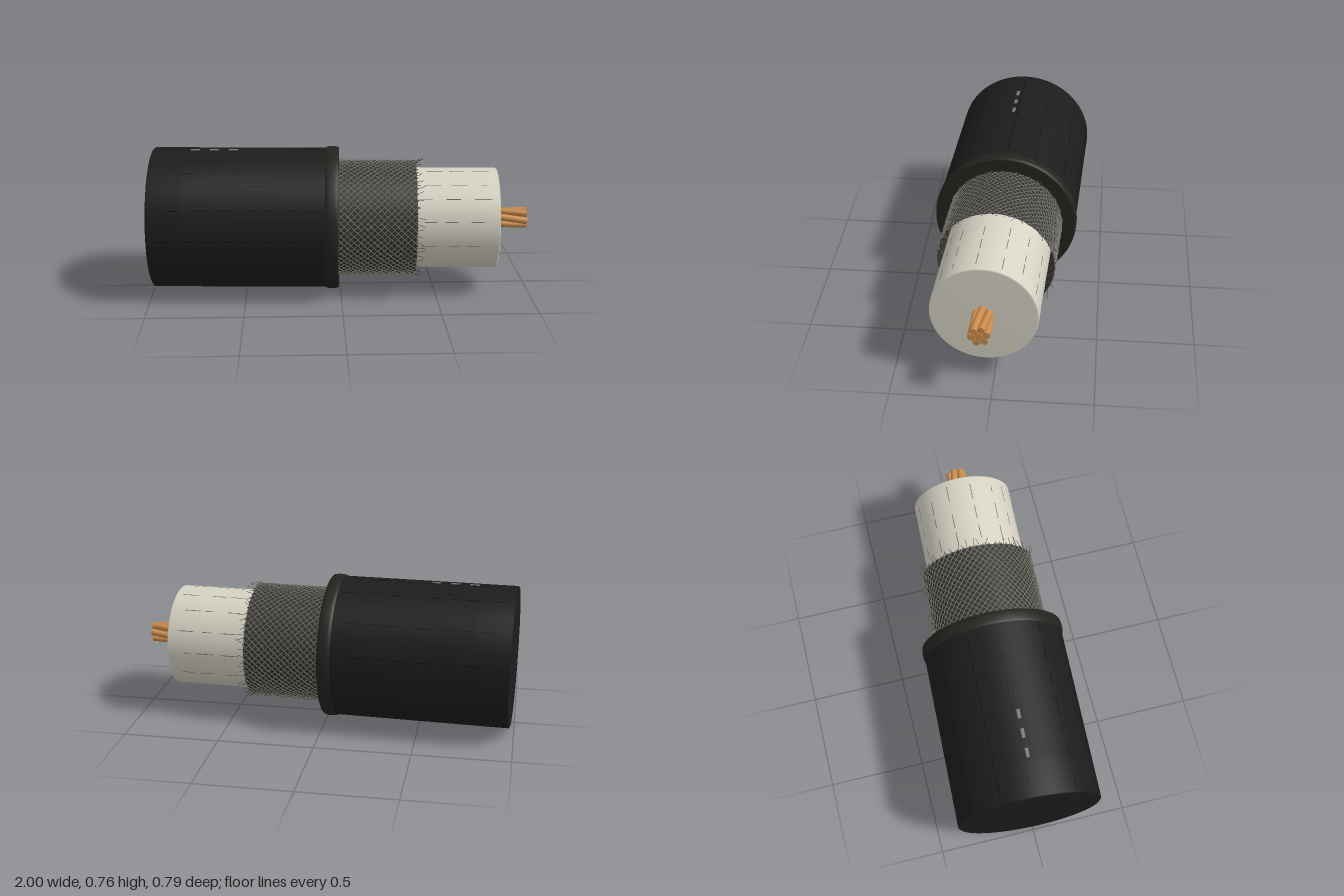
import * as THREE from 'three';
import { mergeGeometries } from 'three/addons/utils/BufferGeometryUtils.js';

const mat = (color, opts = {}) => new THREE.MeshStandardMaterial({ color, ...opts });

let seed = 7;
const rand = () => (seed = (seed * 16807) % 2147483647) / 2147483647;

// Point on a cylinder around the x axis; angle 0 is up, 90 degrees is front
const polar = (x, r, a) => new THREE.Vector3(x, r * Math.cos(a), r * Math.sin(a));

// Lathe about the x axis from [x, radius] pairs
function turned(points, segments = 96) {
  const g = new THREE.LatheGeometry(points.map(([x, r]) => new THREE.Vector2(r, x)), segments);
  return g.rotateZ(-Math.PI / 2);
}

// Tube following a function of t in 0..1
function wire(fn, steps, radius, sides) {
  const pts = [];
  for (let i = 0; i <= steps; i++) pts.push(fn(i / steps));
  return new THREE.TubeGeometry(new THREE.CatmullRomCurve3(pts), steps, radius, sides);
}

// Thin flat strip lying on the cylinder surface
function strip(x, length, r, a, width, height = 0.002) {
  return new THREE.BoxGeometry(length, height, width).translate(x, r, 0).rotateX(a);
}

// Broken lines running along a cylinder
function dashedLines(x0, x1, r, count) {
  const parts = [];
  for (let i = 0; i < count; i++) {
    const a = (i / count) * Math.PI * 2 + rand() * 0.2;
    let x = x0 + rand() * 0.05;
    while (x < x1 - 0.03) {
      const len = Math.min(0.03 + rand() * 0.07, x1 - x);
      parts.push(strip(x + len / 2, len, r, a, 0.004));
      x += len + 0.02 + rand() * 0.06;
    }
  }
  return mergeGeometries(parts);
}

export function createModel() {
  const model = new THREE.Group();
  model.name = 'strippedCable';
  const cable = new THREE.Group();
  cable.name = 'cable';
  cable.position.set(0, 0.383, 0.015);
  cable.rotation.y = -0.041;
  model.add(cable);

  const add = (name, geometry, material) => {
    const mesh = new THREE.Mesh(geometry, material);
    mesh.name = name;
    cable.add(mesh);
  };

  // Outer jacket with softly shaded closed end
  add('jacket', turned([
    [-0.985, 0], [-0.985, 0.366], [-0.979, 0.372], [-0.8, 0.372], [-0.06, 0.372],
  ]), mat(0x1c1c1c));

  // Rolled lip and flat cut face of the jacket
  add('jacketLip', turned([
    [-0.075, 0.37], [-0.07, 0.376], [-0.055, 0.38], [-0.025, 0.38], [-0.01, 0.377], [-0.005, 0.37],
  ]), mat(0x25231f));
  add('jacketCutFace', turned([[-0.005, 0.371], [-0.005, 0.26]]), mat(0x25231f));

  // Fine lines and three printed dashes on the jacket
  add('jacketLines', dashedLines(-0.96, -0.09, 0.372, 12), mat(0x0c0c0c));
  add('printedDashes', mergeGeometries([-0.76, -0.66, -0.56].map(
    (x) => strip(x, 0.048, 0.373, 0.06, 0.017, 0.003))), mat(0x77776f));

  // Dark sleeve beneath the braid, open at the end
  add('braidSleeve', turned([[-0.01, 0.301], [0.4, 0.301]]),
    mat(0x33322e, { side: THREE.DoubleSide }));

  // Woven braid: wires wound both ways, passing over and under
  const braid = [];
  const carriers = 56;
  for (const dir of [1, -1]) {
    for (let i = 0; i < carriers; i++) {
      const a0 = (i / carriers) * Math.PI * 2;
      braid.push(wire((t) => {
        const a = a0 + dir * t * 1.35;
        const r = 0.304 + dir * 0.0022 * Math.sin(t * 1.35 * carriers + i * Math.PI);
        return polar(-0.01 + t * 0.415, r, a);
      }, 48, 0.0023, 4));
    }
  }
  add('braidWires', mergeGeometries(braid), mat(0x77756b));

  // Loose wire ends fraying from the braid
  const frays = [];
  for (let i = 0; i < 64; i++) {
    const a = (i / 64) * Math.PI * 2 + rand() * 0.08;
    const len = 0.015 + rand() * 0.035;
    const flare = (rand() - 0.25) * 0.022;
    const turn = (rand() - 0.5) * 0.14;
    frays.push(wire((t) => polar(0.395 + len * t, 0.304 + flare * t * t, a + turn * t), 4, 0.0013, 4));
  }
  add('frayedWires', mergeGeometries(frays), mat(0x55534c));

  // Pale insulating core with softly shaded flat end
  add('insulation', turned([
    [-0.005, 0.267], [0.4, 0.267], [0.64, 0.267], [0.824, 0.267], [0.83, 0.261], [0.83, 0],
  ]), mat(0xd6d3c4));
  add('insulationLines', dashedLines(0.41, 0.8, 0.2665, 14), mat(0x77756c));

  // Twisted copper strands: one straight, six wound around it
  const strands = [];
  const addStrand = (r, a0, twist, radius) => {
    const path = (t) => polar(0.8 + t * 0.195, r, a0 + t * twist);
    strands.push(wire(path, 14, radius, 14));
    strands.push(new THREE.CircleGeometry(radius, 14).rotateY(Math.PI / 2)
      .translate(...path(1).toArray()));
  };
  addStrand(0, 0, 0, 0.0185);
  for (let i = 0; i < 6; i++) addStrand(0.037, (i / 6) * Math.PI * 2, 0.75, 0.0185);
  add('copperStrands', mergeGeometries(strands), mat(0xc98a4b));

  return model;
}
